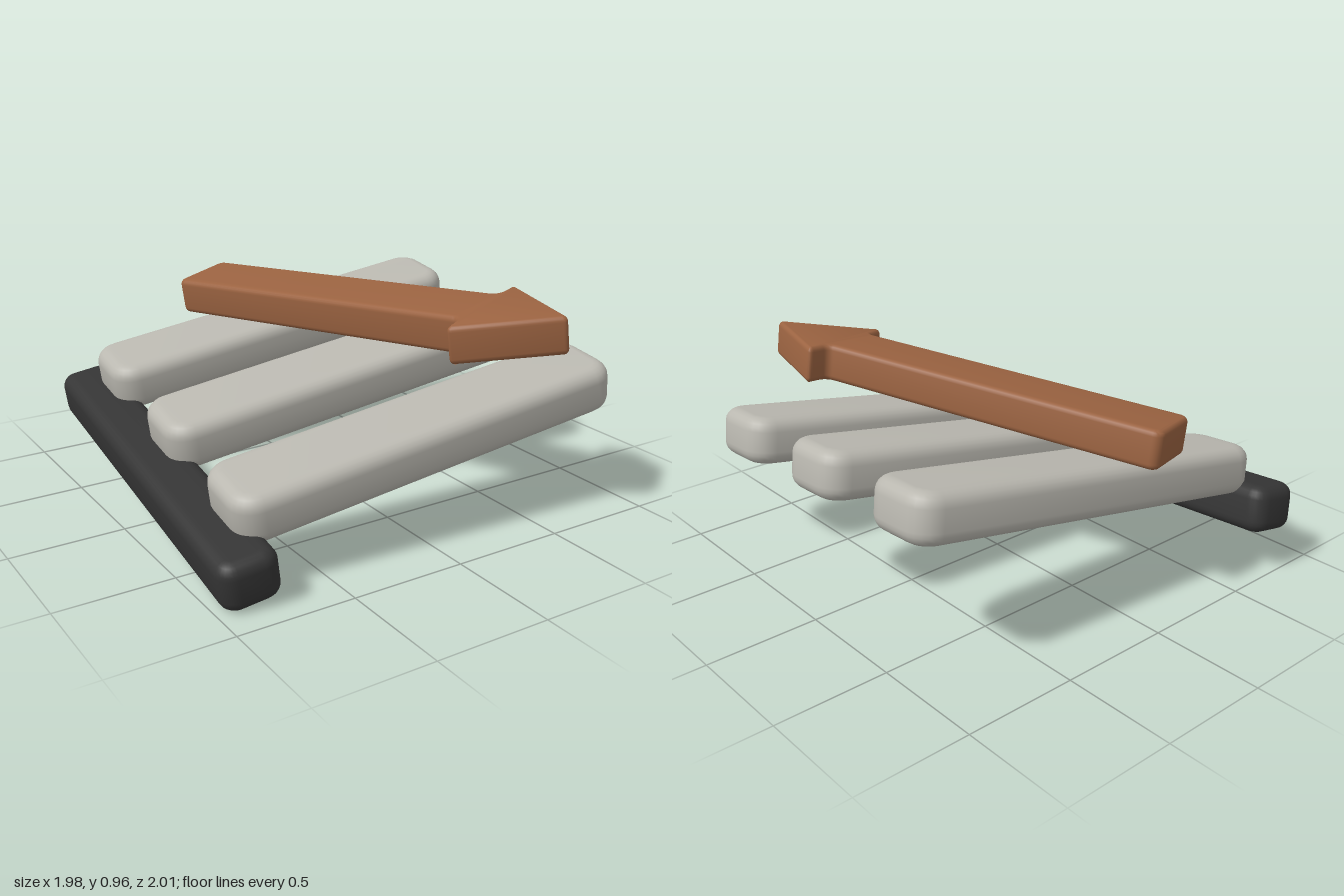
import * as THREE from 'three';
import { toCreasedNormals } from 'three/addons/utils/BufferGeometryUtils.js';

const stone = new THREE.MeshStandardMaterial({ color: 0xbab8b0 });
stone.name = 'warm grey';
const iron = new THREE.MeshStandardMaterial({ color: 0x353535 });
iron.name = 'charcoal';
const wood = new THREE.MeshStandardMaterial({ color: 0x9b6341 });
wood.name = 'brown';

// Closed outline whose corners are rounded; each point is [x, y, radius]
function roundedShape(points) {
  const shape = new THREE.Shape();
  const n = points.length;
  points.forEach(([x, y, r], i) => {
    const p = new THREE.Vector2(x, y);
    const toward = ([qx, qy]) => new THREE.Vector2(qx, qy).sub(p).setLength(r).add(p);
    const a = toward(points[(i + n - 1) % n]);
    const b = toward(points[(i + 1) % n]);
    if (i === 0) shape.moveTo(a.x, a.y);
    else shape.lineTo(a.x, a.y);
    // cubic close to a circular arc
    const c1 = a.clone().lerp(p, 0.55);
    const c2 = b.clone().lerp(p, 0.55);
    shape.bezierCurveTo(c1.x, c1.y, c2.x, c2.y, b.x, b.y);
  });
  shape.closePath();
  return shape;
}

// Flat slab lying in the xz plane, centred in height, with soft edges
function slab(points, height, bevel) {
  const geometry = new THREE.ExtrudeGeometry(roundedShape(points), {
    depth: height - 2 * bevel,
    bevelThickness: bevel,
    bevelSize: bevel,
    bevelOffset: -bevel,
    bevelSegments: 5,
    curveSegments: 6,
  });
  geometry.translate(0, 0, bevel - height / 2);
  geometry.rotateX(-Math.PI / 2);
  return toCreasedNormals(geometry, 0.6);
}

function bar(sizeX, sizeZ, height, radius, bevel) {
  const x = sizeX / 2;
  const y = sizeZ / 2;
  return slab([[-x, -y, radius], [x, -y, radius], [x, y, radius], [-x, y, radius]], height, bevel);
}

// Orientation from the directions of the local x and z axes
function orientation(xAxis, zAxis) {
  const z = zAxis.clone().normalize();
  const y = z.clone().cross(xAxis).normalize();
  const x = y.clone().cross(z);
  return new THREE.Quaternion().setFromRotationMatrix(new THREE.Matrix4().makeBasis(x, y, z));
}

export function createModel() {
  const model = new THREE.Group();
  model.name = 'slattedArrowSign';

  const add = (name, geometry, material, position, quaternion) => {
    const mesh = new THREE.Mesh(geometry, material);
    mesh.name = name;
    mesh.position.copy(position);
    mesh.quaternion.copy(quaternion);
    model.add(mesh);
  };

  // Tilted rack: one rail and three parallel slats
  const railDirection = new THREE.Vector3(-0.056, -0.105, 1);
  const rackTilt = orientation(new THREE.Vector3(1, 0.158, 0.066), railDirection);
  add('rail', bar(0.25, 1.9, 0.21, 0.07, 0.055), iron, new THREE.Vector3(-0.812, 0.21, -0.05), rackTilt);

  const slatGeometry = bar(1.785, 0.377, 0.21, 0.11, 0.06);
  ['frontSlat', 'middleSlat', 'backSlat'].forEach((name, i) => {
    const position = new THREE.Vector3(0.065, 0.502, 0.028).addScaledVector(railDirection, 0.633 * (1 - i));
    add(name, slatGeometry, stone, position, rackTilt);
  });

  // Arrow floating over the slats; outline points toward -y, which becomes +z
  const arrowOutline = [
    [0, -1.02, 0.03],
    [0.278, -0.615, 0.03],
    [0.158, -0.6, 0.03],
    [0.158, 0.995, 0.04],
    [-0.158, 0.995, 0.04],
    [-0.158, -0.6, 0.03],
    [-0.278, -0.615, 0.03],
  ];
  const arrowTilt = orientation(new THREE.Vector3(1, 0.13, -0.35), new THREE.Vector3(0.348, 0.061, 1));
  add('arrow', slab(arrowOutline, 0.165, 0.025), wood, new THREE.Vector3(0.157, 0.812, 0.062), arrowTilt);

  return model;
}
